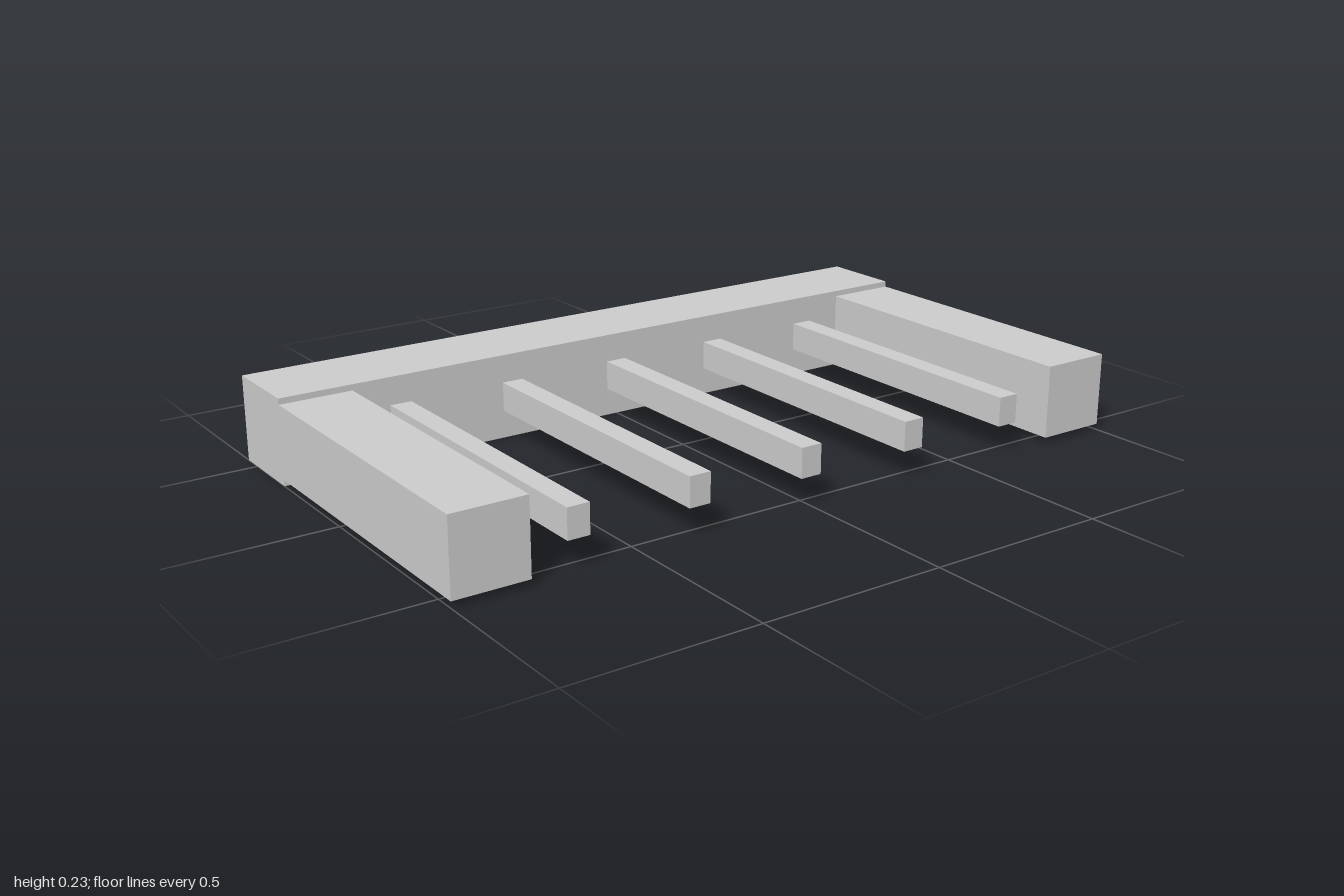
import * as THREE from 'three';

const material = new THREE.MeshStandardMaterial({ color: 0xcccccc, flatShading: true });

const BACK = -0.558, FRONT = 0.558;
const BEAM = 0.233; // square section of the rear beam
const MID_Y = BEAM / 2;
const JOINT = BACK + BEAM; // front face of the rear beam

// Box of given width and height, centred on x and mid height, running from z0 to z1
function bar(name, x, width, height, z0, z1) {
  const mesh = new THREE.Mesh(new THREE.BoxGeometry(width, height, z1 - z0), material);
  mesh.name = name;
  mesh.position.set(x, MID_Y, (z0 + z1) / 2);
  return mesh;
}

export function createModel() {
  const model = new THREE.Group();
  model.name = 'forkedFrame';

  // Rear cross beam
  model.add(bar('rearBeam', 0, 2, BEAM, BACK, JOINT));

  // Thick arms at both ends
  for (const side of [-1, 1]) {
    model.add(bar(side > 0 ? 'leftArm' : 'rightArm', side * 0.9, 0.2, 0.2, JOINT, FRONT));
  }

  // Five slim prongs, evenly spaced
  for (let i = -2; i <= 2; i++) {
    model.add(bar(`prong${i + 3}`, i / 3, 0.06, 0.08, JOINT, 0.542));
  }

  return model;
}
